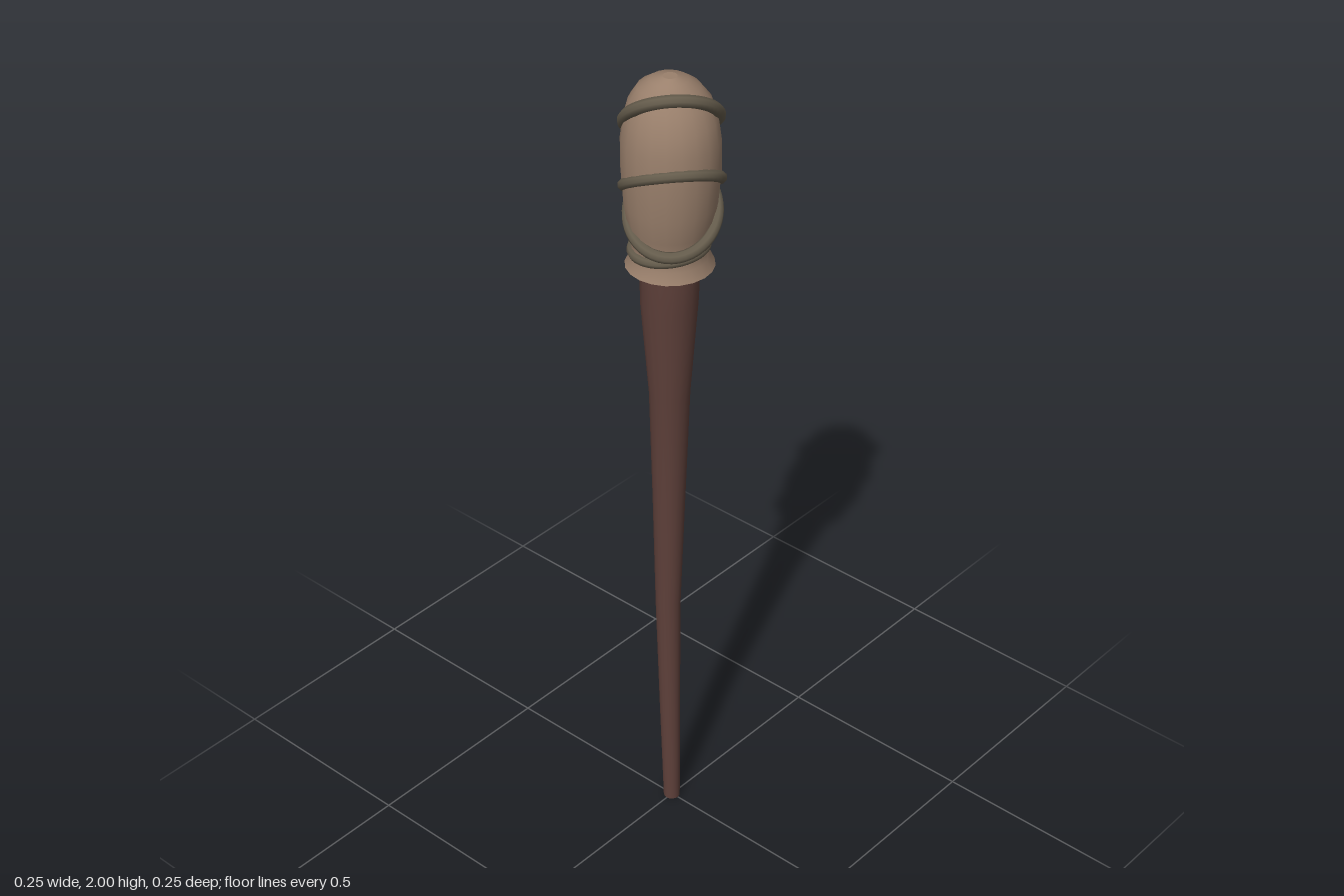
import * as THREE from 'three';

// Lofts round sections [y, radius, centreX, centreZ] from bottom to top, with capped ends
function loft(sections, sides) {
  const pos = [], idx = [];
  for (const [y, r, cx, cz] of sections)
    for (let i = 0; i < sides; i++) {
      const a = (i / sides) * Math.PI * 2;
      pos.push(cx + Math.sin(a) * r, y, cz + Math.cos(a) * r);
    }
  for (let k = 0; k < sections.length - 1; k++)
    for (let i = 0; i < sides; i++) {
      const a = k * sides + i, b = k * sides + (i + 1) % sides;
      idx.push(a, b, b + sides, a, b + sides, a + sides);
    }
  // caps use their own rim so the bottom edge stays crisp
  for (const [s, up] of [[sections[0], false], [sections[sections.length - 1], true]]) {
    const c = pos.length / 3;
    pos.push(s[2], s[0], s[3]);
    for (let i = 0; i < sides; i++) {
      const a = (i / sides) * Math.PI * 2;
      pos.push(s[2] + Math.sin(a) * s[1], s[0], s[3] + Math.cos(a) * s[1]);
    }
    for (let i = 0; i < sides; i++) {
      const a = c + 1 + i, b = c + 1 + (i + 1) % sides;
      idx.push(c, up ? a : b, up ? b : a);
    }
  }
  const g = new THREE.BufferGeometry();
  g.setAttribute('position', new THREE.Float32BufferAttribute(pos, 3));
  g.setIndex(idx);
  g.computeVertexNormals();
  return g;
}

// Closed rope loop: tilt raises it towards +x and +z
function ropeLoop(y, radius, cx, cz, tiltX, tiltZ, thickness) {
  const pts = [];
  for (let i = 0; i < 16; i++) {
    const a = (i / 16) * Math.PI * 2, s = Math.sin(a), c = Math.cos(a);
    pts.push(new THREE.Vector3(cx + s * radius, y + s * tiltX + c * tiltZ, cz + c * radius));
  }
  return new THREE.TubeGeometry(new THREE.CatmullRomCurve3(pts, true), 48, thickness, 8, true);
}

export function createModel() {
  const group = new THREE.Group();
  const add = (name, geometry, color) => {
    const mesh = new THREE.Mesh(geometry, new THREE.MeshStandardMaterial({ color }));
    mesh.name = name;
    group.add(mesh);
  };

  // Slightly bowed, tapering wooden handle
  add('handle', loft([
    [0, 0.02, -0.001, 0], [0.3, 0.025, -0.01, -0.003], [0.6, 0.03, -0.017, -0.005],
    [0.9, 0.038, -0.014, -0.005], [1.2, 0.047, -0.01, -0.003], [1.45, 0.065, -0.001, 0.008],
    [1.6, 0.068, 0.001, 0.006],
  ], 16), 0x5e403a);

  // Cloth wrapping with a flared hem and rounded top
  add('clothHead', loft([
    [1.54, 0.1, -0.006, 0], [1.565, 0.088, -0.006, 0], [1.6, 0.084, -0.005, 0.002],
    [1.64, 0.093, -0.003, 0.003], [1.7, 0.103, -0.001, 0.004], [1.78, 0.109, 0, 0.004],
    [1.85, 0.109, 0, 0.004], [1.9, 0.102, -0.002, 0.002], [1.94, 0.089, -0.006, 0],
    [1.97, 0.068, -0.007, 0.002], [1.99, 0.042, -0.003, 0.006], [2.0, 0.016, 0.002, 0.009],
  ], 20), 0x9a806c);

  // Rope turns, tilted alternately
  [
    [1.89, 0.102, -0.01, -0.009, 0.066, 0.064, 0.014],
    [1.748, 0.105, 0.004, 0.004, 0.052, 0.045, 0.013],
    [1.672, 0.098, 0, -0.002, -0.036, -0.05, 0.013],
    [1.587, 0.082, -0.006, 0.002, 0.008, -0.006, 0.012],
  ].forEach((loop, i) => add('ropeLoop' + (i + 1), ropeLoop(...loop), 0x655c4c));

  return group;
}
